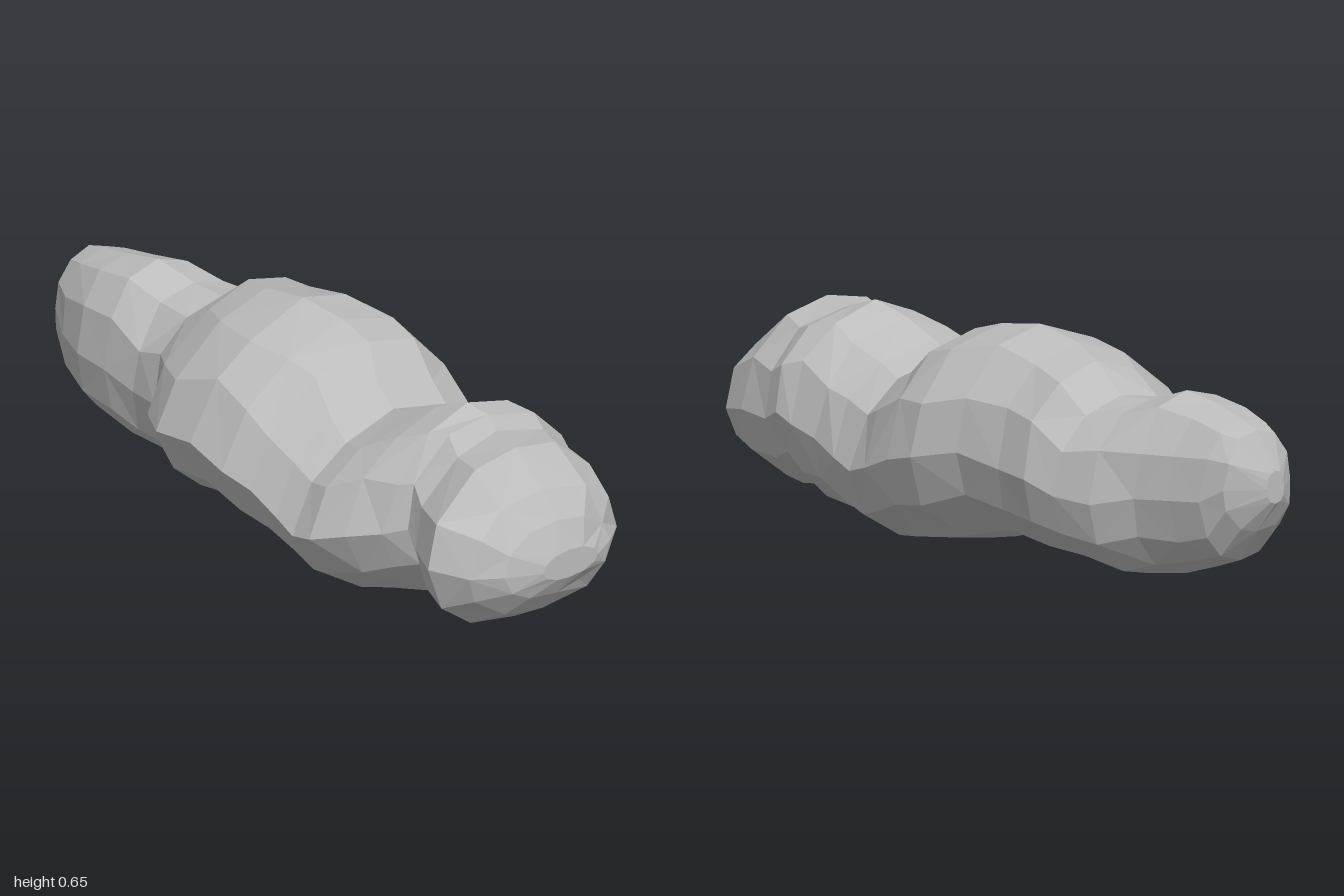
import * as THREE from 'three';

// Cross-sections from the right end (-x) to the left end (+x):
// x, bottom, top, back, front
const SECTIONS = [
  [-1, 0.31, 0.4, -0.03, 0.03],
  [-0.95, 0.23, 0.505, -0.14, 0.095],
  [-0.88, 0.14, 0.525, -0.165, 0.13],
  [-0.78, 0.105, 0.545, -0.185, 0.165],
  [-0.67, 0.07, 0.565, -0.21, 0.165],
  [-0.56, 0.055, 0.525, -0.27, 0.16],
  [-0.45, 0.075, 0.52, -0.3, 0.18],
  [-0.36, 0.07, 0.6, -0.325, 0.28],
  [-0.25, 0.065, 0.625, -0.32, 0.345],
  [-0.1, 0.085, 0.65, -0.335, 0.355],
  [0.04, 0.045, 0.63, -0.375, 0.365],
  [0.14, 0.025, 0.6, -0.37, 0.35],
  [0.24, 0.01, 0.53, -0.36, 0.35],
  [0.32, 0, 0.488, -0.345, 0.36],
  [0.4, 0.015, 0.515, -0.33, 0.37],
  [0.5, 0.035, 0.56, -0.31, 0.33],
  [0.59, 0.05, 0.595, -0.315, 0.28],
  [0.65, 0.11, 0.575, -0.315, 0.24],
  [0.71, 0.07, 0.555, -0.3, 0.265],
  [0.83, 0.07, 0.56, -0.28, 0.325],
  [0.92, 0.12, 0.465, -0.255, 0.26],
  [0.97, 0.18, 0.39, -0.19, 0.18],
  [1, 0.23, 0.31, -0.12, 0.07],
];
const SIDES = 12;

// Small seeded generator for repeatable irregularity
function seeded(seed) {
  let s = seed;
  return () => (s = (s * 16807) % 2147483647) / 2147483647;
}

// Fullness of a cross-section quadrant: 2 is an ellipse, less is chamfered, more is boxy
function fullness(x, isFront, isTop) {
  if (x < -0.42) return isFront ? 2.4 : 2.1;
  if (x > 0.62) return 2.1;
  if (isFront) return isTop ? 1.65 : 1.75;
  return isTop ? 1.95 : 2.15;
}

// Faceted lumpy body skinned over the cross-sections
function rockGeometry() {
  const rand = seeded(48271);
  const points = [];
  const index = [];
  const last = SECTIONS.length - 1;

  SECTIONS.forEach(([x, bottom, top, back, front], i) => {
    const yc = bottom + (top - bottom) * 0.46; // height of the widest line
    const zc = (back + front) / 2;
    const rz = (front - back) / 2;
    const lean = x > -0.42 && x < 0.2 ? -0.05 : 0; // the crown leans back
    for (let j = 0; j < SIDES; j++) {
      const onAxis = j % 3 === 0; // these four points hold the outline
      const a = (j / SIDES) * Math.PI * 2 + (onAxis ? 0 : (rand() - 0.5) * 0.14);
      const c = Math.cos(a);
      const s = Math.sin(a);
      const power = fullness(x, c > 0, s > 0);
      const k = (Math.abs(c) ** power + Math.abs(s) ** power) ** (-1 / power);
      const shift = onAxis || i === 0 || i === last ? 0 : (rand() - 0.5) * 0.025;
      points.push(
        x + shift,
        yc + s * k * (s > 0 ? top - yc : yc - bottom),
        zc + c * k * rz + lean * Math.max(0, s) ** 2,
      );
    }
  });

  // Skin, with the diagonals alternating
  for (let i = 0; i < last; i++) {
    for (let j = 0; j < SIDES; j++) {
      const n = (j + 1) % SIDES;
      const a = i * SIDES + j, b = a + SIDES;
      const c = (i + 1) * SIDES + n, d = i * SIDES + n;
      if ((i + j) % 2) index.push(a, b, d, b, c, d);
      else index.push(a, b, c, a, c, d);
    }
  }

  // End facets
  for (let j = 1; j < SIDES - 1; j++) {
    const e = last * SIDES;
    index.push(0, j, j + 1, e, e + j + 1, e + j);
  }

  const geo = new THREE.BufferGeometry();
  geo.setAttribute('position', new THREE.Float32BufferAttribute(points, 3));
  geo.setIndex(index);
  geo.computeVertexNormals();
  return geo;
}

export function createModel() {
  const group = new THREE.Group();
  group.name = 'rock';
  const stone = new THREE.MeshStandardMaterial({ color: 0xbcbcbc, flatShading: true });
  stone.name = 'grey stone';

  const body = new THREE.Mesh(rockGeometry(), stone);
  body.name = 'rockBody';
  group.add(body);
  return group;
}
